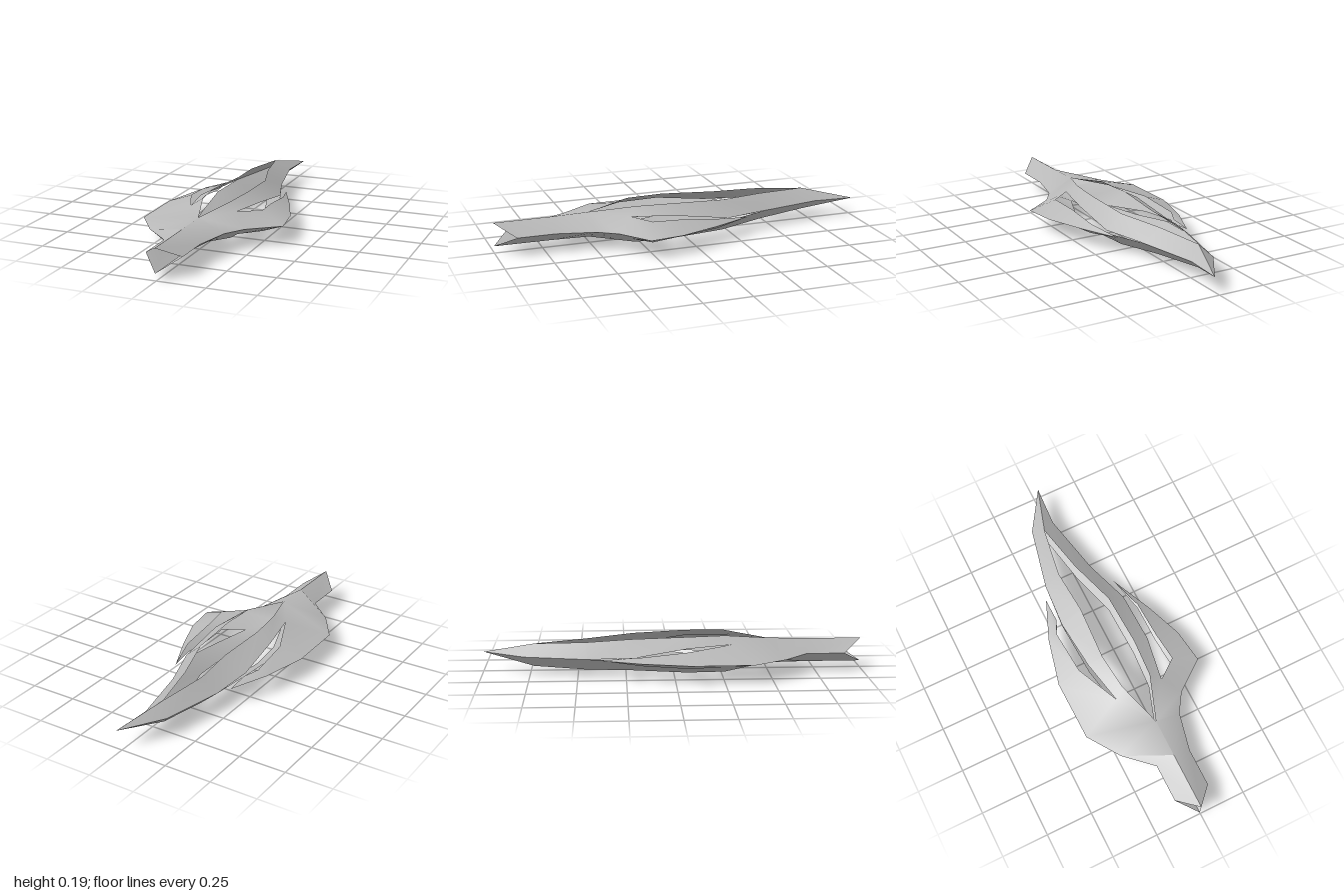
import * as THREE from 'three';
import { toCreasedNormals } from 'three/addons/utils/BufferGeometryUtils.js';

const MID = 0.1; // height of the sharp rim where both shells meet
const rim = (x, z) => [x, MID, z];

// Open collar and the ridge leading to the fork
const ridge = [[-0.005, 0.162, 1], [-0.005, 0.163, 0.7], [-0.005, 0.167, 0.5]];
const fork = ridge[2];
const leftNotch = [0.125, 0.16, 0.31], rightNotch = [-0.135, 0.16, 0.3];
const tip = rim(0.03, -1), join = [-0.055, 0.16, -0.73];
const leftTip = rim(0.16, -0.32), rightTip = rim(-0.215, -0.38);

// Each strip joins a raised inner edge to an outer edge
const strips = [
  // collar and short prong on the left
  [[...ridge, leftNotch, [0.23, 0.155, 0.23], [0.215, 0.145, 0.07], [0.21, 0.125, -0.13], leftTip],
   [rim(0.09, 0.9), rim(0.09, 0.7), rim(0.135, 0.5), rim(0.2, 0.4), rim(0.36, 0.28),
    rim(0.335, 0.1), rim(0.26, -0.1), leftTip]],
  // collar and broad prong on the right
  [[...ridge, rightNotch, [-0.235, 0.143, 0.07], [-0.25, 0.122, -0.17], [-0.215, 0.112, -0.25], rightTip],
   [rim(-0.1, 0.9), rim(-0.1, 0.7), rim(-0.24, 0.57), rim(-0.355, 0.4), rim(-0.36, 0.08),
    rim(-0.3, -0.17), rightTip, rightTip]],
  // left strand of the central blade
  [[fork, [0.075, 0.197, 0.27], [0.087, 0.195, 0.07], [0.077, 0.183, -0.21], [0, 0.172, -0.46], join, tip],
   [leftNotch, leftNotch, [0.165, 0.15, 0.07], [0.165, 0.108, -0.21], rim(0.087, -0.45), rim(0.017, -0.78), tip]],
  // right strand of the central blade
  [[fork, [-0.08, 0.197, 0.27], [-0.1, 0.195, 0.07], [-0.083, 0.183, -0.22], [-0.098, 0.172, -0.46], join, tip],
   [rightNotch, rightNotch, [-0.18, 0.15, 0.07], [-0.2, 0.108, -0.21], rim(-0.183, -0.45), rim(-0.11, -0.78), tip]],
];

// Builds one shell; side is 1 for the upper and -1 for the lower one
function shell(side) {
  const pos = [];
  const tri = (a, b, c) => {
    if (a === b || b === c || a === c) return;
    const up = (b[2] - a[2]) * (c[0] - a[0]) - (b[0] - a[0]) * (c[2] - a[2]);
    const order = up * side > 0 ? [a, b, c] : [a, c, b];
    for (const p of order) pos.push(p[0], MID + (p[1] - MID) * side, p[2]);
  };
  for (const [inner, outer] of strips) {
    for (let i = 0; i < inner.length - 1; i++) {
      tri(inner[i], outer[i], outer[i + 1]);
      tri(inner[i], outer[i + 1], inner[i + 1]);
    }
  }
  const geo = new THREE.BufferGeometry();
  geo.setAttribute('position', new THREE.Float32BufferAttribute(pos, 3));
  geo.computeVertexNormals();
  return toCreasedNormals(geo, 0.9);
}

export function createModel() {
  const group = new THREE.Group();
  group.name = 'forkedBlade';
  const metal = new THREE.MeshStandardMaterial({ color: 0xb8b8b8, side: THREE.DoubleSide });
  metal.name = 'light grey';
  for (const [name, side] of [['upperShell', 1], ['lowerShell', -1]]) {
    const mesh = new THREE.Mesh(shell(side), metal);
    mesh.name = name;
    group.add(mesh);
  }
  return group;
}
